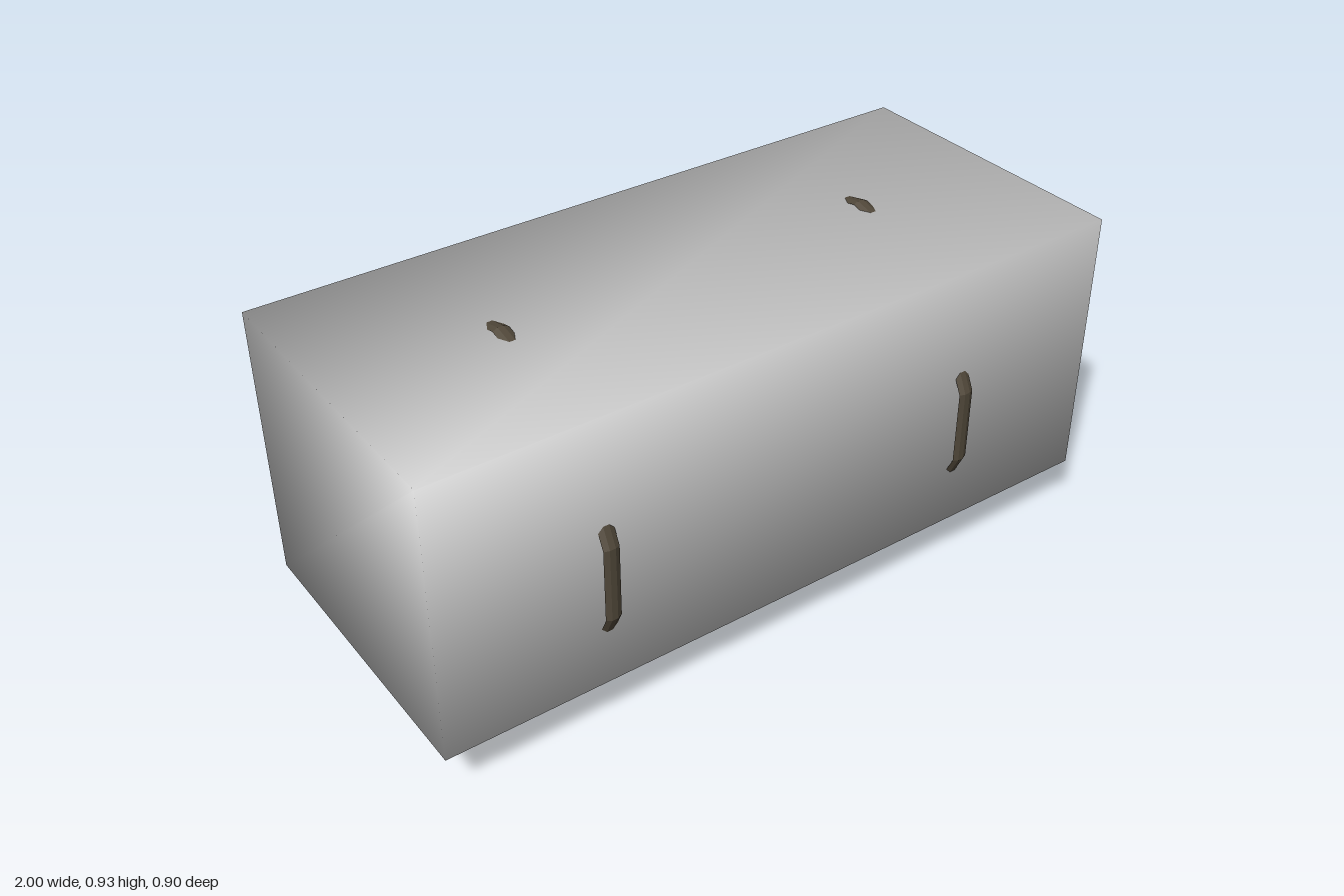
import * as THREE from 'three';
import { mergeVertices } from 'three/addons/utils/BufferGeometryUtils.js';

export function createModel() {
  const model = new THREE.Group();
  const material = (name, color, flatShading = false) =>
    Object.assign(new THREE.MeshStandardMaterial({ color }), { name, flatShading });
  const grey = material('light grey', 0xc8c8c8);
  const tan = material('tan', 0xbbae8f, true);
  const brown = material('dark brown', 0x51483a, true);

  const add = (name, geometry, mat, x, y, z) => {
    const mesh = new THREE.Mesh(geometry, mat);
    mesh.name = name;
    mesh.position.set(x, y, z);
    model.add(mesh);
    return mesh;
  };

  // Block body: corners are shared so the shading runs smoothly over the edges
  let body = new THREE.BoxGeometry(1.98, 0.764, 0.853);
  body.deleteAttribute('normal');
  body.deleteAttribute('uv');
  body = mergeVertices(body);
  body.computeVertexNormals();
  add('body', body, grey, -0.01, 0.533, 0);

  // Ten-sided end disc
  const disc = new THREE.CylinderGeometry(0.202, 0.202, 0.04, 10);
  disc.rotateY(Math.PI / 2).rotateZ(-Math.PI / 2);
  add('endDisc', disc, tan, 0.98, 0.69, 0);

  // Thin bands: a flattened six-sided section turned round the x axis
  const section = [[0.457, 0.022], [0.4635, 0.008], [0.4635, -0.008],
    [0.457, -0.022], [0.4505, -0.008], [0.4505, 0.008], [0.457, 0.022]]
    .reverse().map(([r, h]) => new THREE.Vector2(r, h));
  const band = new THREE.LatheGeometry(section, 14);
  band.rotateY(Math.PI / 2).rotateZ(-Math.PI / 2);
  for (const [name, x] of [['rightBand', -0.55], ['leftBand', 0.53]]) {
    add(name, band, brown, x, 0.4635, 0);
  }
  return model;
}
